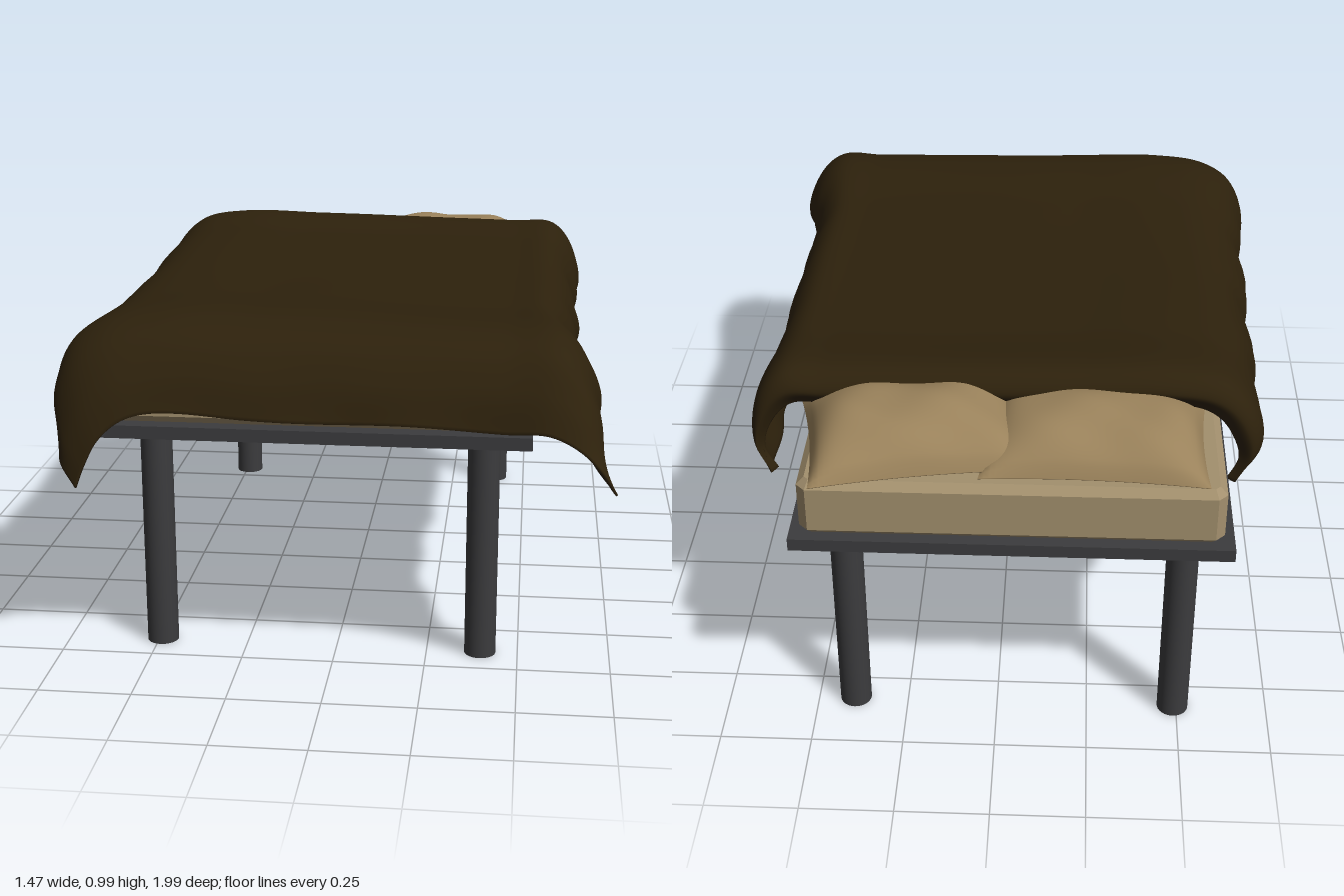
import * as THREE from 'three';

const V = (x, y, z) => new THREE.Vector3(x, y, z);
const { lerp, clamp, smoothstep } = THREE.MathUtils;

// Closed soft shell from two matching grids of points, stitched around the rim
function shell(n, m, top, bottom) {
  const pos = [], idx = [], count = (n + 1) * (m + 1);
  for (const grid of [top, bottom]) for (const p of grid) pos.push(p.x, p.y, p.z);
  const at = (i, j) => j * (n + 1) + i;
  const quad = (a, b, c, d) => idx.push(a, b, c, a, c, d);
  for (let j = 0; j < m; j++) for (let i = 0; i < n; i++) {
    const a = at(i, j), b = at(i, j + 1), c = at(i + 1, j + 1), d = at(i + 1, j);
    quad(a, b, c, d);
    quad(d + count, c + count, b + count, a + count);
  }
  const rim = (a, b) => quad(a, b, b + count, a + count);
  for (let i = 0; i < n; i++) {
    rim(at(i, 0), at(i + 1, 0));
    rim(at(i + 1, m), at(i, m));
  }
  for (let j = 0; j < m; j++) {
    rim(at(0, j + 1), at(0, j));
    rim(at(n, j), at(n, j + 1));
  }
  const geo = new THREE.BufferGeometry();
  geo.setAttribute('position', new THREE.Float32BufferAttribute(pos, 3));
  geo.setIndex(idx);
  geo.computeVertexNormals();
  return geo;
}

// Mattress block with chamfered edges, standing on y = 0
function chamferedBlock(w, h, d, c) {
  const x = w / 2 - c, z = d / 2 - c, k = c * 0.6;
  const outline = [[x - k, -z], [x, k - z], [x, z - k], [x - k, z], [k - x, z], [-x, z - k], [-x, k - z], [k - x, -z]];
  const geo = new THREE.ExtrudeGeometry(new THREE.Shape(outline.map(([a, b]) => new THREE.Vector2(a, b))),
    { depth: h - 2 * c, bevelSize: c, bevelThickness: c, bevelSegments: 1 });
  return geo.rotateX(-Math.PI / 2).translate(0, c, 0);
}

// Pillow: puffed shell with drawn-out corners and soft dents
function pillowGeometry(w, d, h, seed) {
  const n = 40, m = 30, top = [], bottom = [];
  for (let j = 0; j <= m; j++) for (let i = 0; i <= n; i++) {
    const u = (i / n) * 2 - 1, v = (j / m) * 2 - 1;
    const puff = Math.pow((1 - u ** 4) * (1 - v * v), 0.65);
    const x = u * (w / 2) * (1 - 0.05 * (1 - v * v)), z = v * (d / 2) * (1 - 0.07 * (1 - u * u));
    const dent = 1 + 0.04 * Math.sin(u * 6 + v * 3 + seed) + 0.03 * Math.sin(v * 6 - u * 7 + seed * 2);
    top.push(V(x, puff * h * dent, z));
    bottom.push(V(x, -0.012 * puff - 0.002, z));
  }
  return shell(n, m, top, bottom);
}

// Blanket: cross-sections from head to foot, draped over both sides
function blanketGeometry() {
  // z, top height, then hem x, y, z on each side
  const rows = [
    [-0.655, 0.89, -0.6, 0.67, -0.66, 0.59, 0.68, -0.665],
    [-0.68, 0.935, -0.63, 0.66, -0.68, 0.61, 0.67, -0.68],
    [-0.635, 0.98, -0.65, 0.65, -0.65, 0.62, 0.66, -0.65],
    [-0.4, 0.96, -0.66, 0.65, -0.4, 0.61, 0.67, -0.4],
    [0, 0.945, -0.66, 0.65, 0, 0.61, 0.66, 0],
    [0.4, 0.94, -0.67, 0.65, 0.4, 0.6, 0.66, 0.4],
    [0.7, 0.945, -0.7, 0.68, 0.73, 0.65, 0.65, 0.73],
    [0.81, 0.91, -0.7, 0.66, 0.83, 0.68, 0.63, 0.86],
    [0.88, 0.83, -0.68, 0.61, 0.91, 0.71, 0.61, 0.93],
    [0.92, 0.735, -0.63, 0.555, 0.96, 0.735, 0.595, 0.995],
  ];
  // shares of the way from hem to shoulder: sideways, up, lengthways, outward bulge
  const sideDrop = [[0, 0, 0, 0], [-0.06, 0.33, 0.12, 1], [0.13, 0.73, 0.3, 1], [0.44, 0.94, 0.65, 0.7]];
  const footDrop = [[0, 0, 0, 0], [0.12, 0.32, 0.15, 0], [0.3, 0.66, 0.35, 0], [0.6, 0.92, 0.7, 0]];
  const sections = rows.map(([z, top, xl, yl, zl, xr, yr, zr], r) => {
    const k = clamp((r - 6) / 3, 0, 1);
    const side = (hx, hy, hz, s) => sideDrop.map((a, i) => {
      const [f, g, t, b] = a.map((v, c) => lerp(v, footDrop[i][c], k));
      return V(lerp(hx, s * 0.45, f) + s * b * 0.1 * (top - hy), lerp(hy, top, g), lerp(hz, z, t));
    });
    return [...side(xl, yl, zl, -1), V(-0.45, top + 0.006, z), V(-0.2, top, z), V(0, top - 0.003, z),
      V(0.2, top - 0.007, z), V(0.45, top - 0.014, z), ...side(xr, yr, zr, 1).reverse()];
  });
  const rails = sections[0].map((_, k) => new THREE.CatmullRomCurve3(sections.map(s => s[k])));
  const n = 110, m = 110, base = [];
  for (let j = 0; j <= m; j++) {
    const across = new THREE.CatmullRomCurve3(rails.map(r => r.getPoint(j / m)));
    for (let i = 0; i <= n; i++) base.push(across.getPoint(i / n));
  }
  const get = (i, j) => base[clamp(j, 0, m) * (n + 1) + clamp(i, 0, n)];
  const top = [], bottom = [];
  for (let j = 0; j <= m; j++) for (let i = 0; i <= n; i++) {
    const p = get(i, j);
    const du = get(i + 2, j).clone().sub(get(i - 2, j)), dv = get(i, j + 2).clone().sub(get(i, j - 2));
    const normal = dv.cross(du).normalize();
    // folds grow stronger where the cloth hangs, and calm down towards the foot corners
    const hang = smoothstep(0.95 - p.y, 0, 0.25) * (1 - 0.6 * smoothstep(p.z, 0.75, 0.9));
    const folds = Math.sin(p.z * 17 + p.y * 9 + p.x * 3) + 0.7 * Math.sin(p.x * 19 + p.y * 12 - p.z * 5)
      + 0.5 * Math.sin(p.z * 34 - p.y * 15 + p.x * 21);
    const soft = Math.sin(p.x * 7 + p.z * 5) + Math.sin(p.x * 4 - p.z * 9 + 1);
    const q = p.clone().addScaledVector(normal, 0.007 * hang * folds + 0.002 * soft);
    q.y += 0.008 * hang * Math.sin(p.z * 13 + p.x * 11);
    const edge = Math.min(i / n, 1 - i / n, j / m, 1 - j / m);
    const thick = 0.006 + 0.02 * Math.min(1, edge * 8);
    top.push(q);
    bottom.push(q.clone().addScaledVector(normal, -thick));
  }
  return shell(n, m, top, bottom);
}

export function createModel() {
  const bed = new THREE.Group();
  bed.name = 'bed';
  const material = color => new THREE.MeshStandardMaterial({ color });
  const frameMat = material(0x3c3c3e), mattressMat = material(0xa3906e), pillowMat = material(0x9a825b);
  const blanketMat = material(0x2d210c);
  blanketMat.side = THREE.DoubleSide;
  const add = (name, geo, mat, x, y, z) => {
    const mesh = new THREE.Mesh(geo, mat);
    mesh.name = name;
    mesh.position.set(x, y, z);
    bed.add(mesh);
    return mesh;
  };

  // Base board and four round legs
  add('baseBoard', new THREE.BoxGeometry(1.135, 0.035, 1.76), frameMat, -0.043, 0.651, -0.09);
  const leg = new THREE.CylinderGeometry(0.043, 0.043, 0.64, 32);
  for (const x of [-0.49, 0.397]) for (const z of [-0.825, 0.645])
    add(z > 0 ? 'frontLeg' : 'backLeg', leg, frameMat, x, 0.32, z);

  // Mattress
  add('mattress', chamferedBlock(1.08, 0.165, 1.72, 0.02), mattressMat, -0.043, 0.669, -0.095);

  // Pillows, the left one turned and overlapping its neighbour
  add('rightPillow', pillowGeometry(0.58, 0.42, 0.11, 1), pillowMat, -0.255, 0.842, -0.725).rotation.y = -0.03;
  add('leftPillow', pillowGeometry(0.57, 0.42, 0.115, 3.4), pillowMat, 0.215, 0.848, -0.735).rotation.y = 0.18;

  // Draped blanket
  add('blanket', blanketGeometry(), blanketMat, 0, 0, 0);
  return bed;
}
